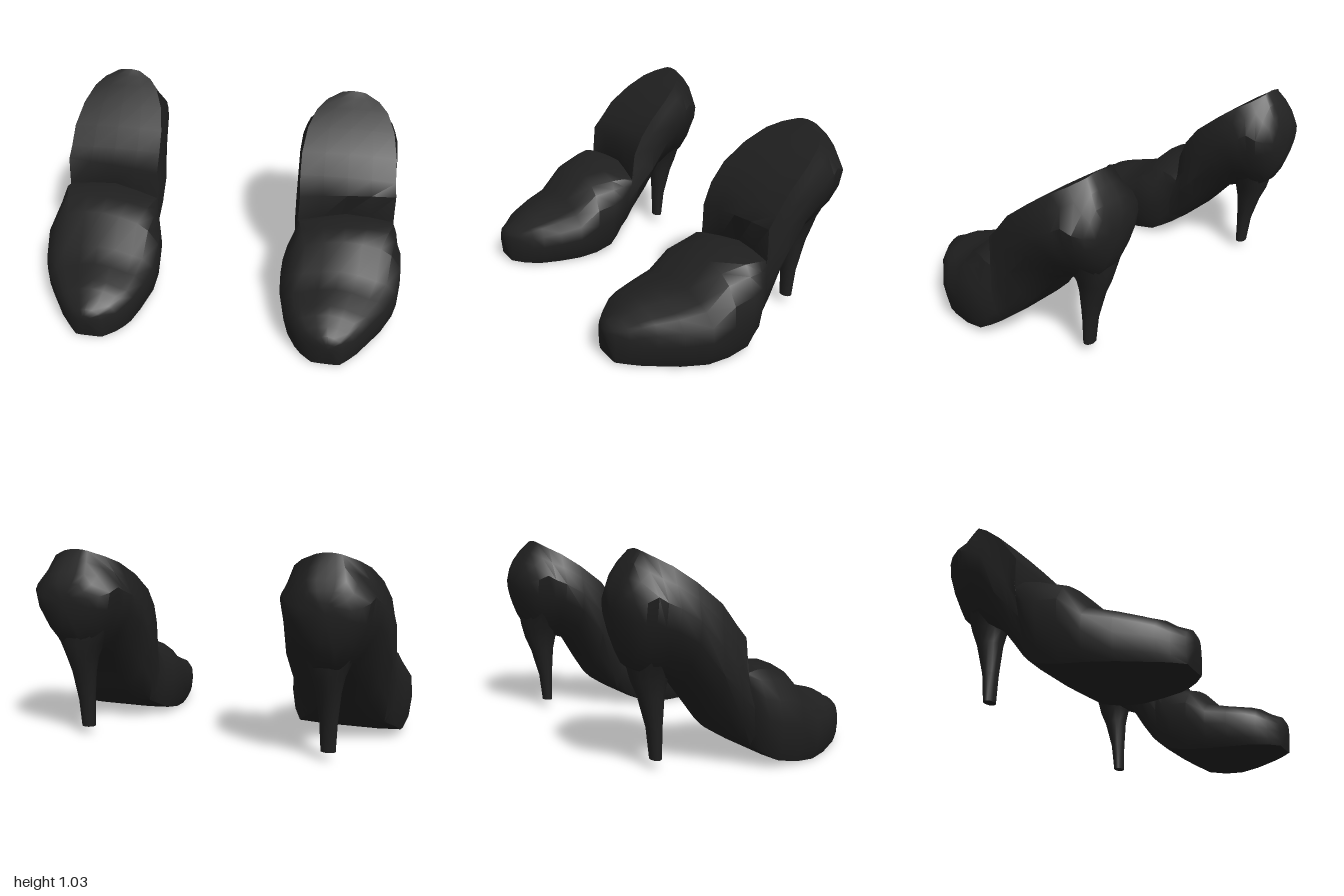
import * as THREE from 'three';
import { toCreasedNormals } from 'three/addons/utils/BufferGeometryUtils.js';

const { lerp, smoothstep } = THREE.MathUtils;

// Body stations from toe to back: z, bottom y, top y, centre x, half width, top edge width factor
const BODY = [
  [0.67, 0.10, 0.17, 0.64, 0.035, 0.8],
  [0.65, 0.012, 0.205, 0.635, 0.085, 0.75],
  [0.6, 0.01, 0.225, 0.63, 0.145, 0.72],
  [0.55, 0.008, 0.26, 0.632, 0.19, 0.7],
  [0.5, 0.006, 0.278, 0.635, 0.222, 0.68],
  [0.4, 0.004, 0.305, 0.654, 0.274, 0.65],
  [0.28, 0.004, 0.335, 0.67, 0.317, 0.62],
  [0.17, 0.012, 0.45, 0.674, 0.328, 0.62],
  [0.06, 0.035, 0.465, 0.68, 0.32, 0.74],
  [0.0, 0.07, 0.47, 0.683, 0.3, 0.86],
  [-0.045, 0.098, 0.455, 0.678, 0.274, 0.94],
  [-0.05, 0.102, 0.6, 0.676, 0.271, 0.96],
  [-0.1, 0.145, 0.685, 0.668, 0.274, 0.95],
  [-0.18, 0.245, 0.785, 0.664, 0.277, 0.93],
  [-0.3, 0.415, 0.88, 0.662, 0.276, 0.86],
  [-0.4, 0.45, 0.95, 0.662, 0.267, 0.73],
  [-0.46, 0.46, 0.985, 0.662, 0.252, 0.57],
  [-0.5, 0.475, 1.015, 0.662, 0.235, 0.28],
  [-0.55, 0.51, 0.96, 0.664, 0.215, 0.4],
  [-0.59, 0.575, 0.9, 0.667, 0.178, 0.55],
  [-0.617, 0.635, 0.85, 0.67, 0.128, 0.65],
  [-0.632, 0.71, 0.8, 0.672, 0.05, 0.7],
];

// Heel stations from top to bottom: y, front z, back z, half width
const HEEL = [
  [0.6, -0.32, -0.59, 0.165],
  [0.52, -0.345, -0.58, 0.115],
  [0.44, -0.375, -0.56, 0.082],
  [0.36, -0.392, -0.525, 0.064],
  [0.2, -0.403, -0.478, 0.046],
  [0.05, -0.405, -0.46, 0.038],
];

// Skins a list of equal rings and closes both ends; rings run anticlockwise seen from the first end
function loft(rings) {
  const n = rings[0].length;
  const points = rings.flat();
  const index = [];
  for (let i = 0; i < rings.length - 1; i++) {
    for (let j = 0; j < n; j++) {
      const k = (j + 1) % n;
      const a = i * n + j, b = i * n + k, c = a + n, d = b + n;
      index.push(a, c, b, b, c, d);
    }
  }
  [rings[0], rings[rings.length - 1]].forEach((ring, end) => {
    const centre = new THREE.Vector3();
    ring.forEach((p) => centre.addScaledVector(p, 1 / n));
    const m = points.push(centre) - 1;
    const base = end ? (rings.length - 1) * n : 0;
    for (let j = 0; j < n; j++) {
      const a = base + j, b = base + (j + 1) % n;
      index.push(m, end ? b : a, end ? a : b);
    }
  });
  const geometry = new THREE.BufferGeometry().setFromPoints(points);
  geometry.setIndex(index);
  return toCreasedNormals(geometry, 0.75);
}

// The upper rear of the right shoe sits slightly further back
function shiftZ(z, y, side) {
  if (side > 0 || z > 0.3) return z;
  const shift = z < -0.047 ? -0.072 - 0.07 * (z + 0.05) : -0.072 * (0.3 - z) / 0.345;
  return z + shift * smoothstep(y, 0.15, 0.55);
}

function bodyRing([z, bottom, height, centre, fullWidth, topWidth], side) {
  const rear = smoothstep(-z, 0.1, 0.45);
  const sole = lerp(0.87, 0.28, smoothstep(-z, -0.08, 0.4));
  const edge = z < -0.047 ? 0.985 : lerp(0.94, 0.85, smoothstep(z, 0.05, 0.4));
  // The right shoe is a little taller and narrower behind
  const top = side < 0 && z < 0.2 ? height + 0.02 : height;
  const width = side < 0 ? fullWidth * (1 - 0.06 * rear) : fullWidth;
  // The sides rise smoothly past the step between instep and opening
  const sideTop = z < 0 && z > -0.1 ? lerp(0.47, 0.685, -z / 0.1) : top;
  const half = [
    [0, 0], [sole * 0.55, 0], [sole, 0.015],
    [lerp((1 + sole) / 2 + 0.02, 0.65, rear), lerp(0.16, 0.22, rear)],
    [lerp(1, 0.92, rear), lerp(0.42, 0.45, rear)],
    [lerp(0.975, 1, rear), 0.65],
    [(topWidth + 0.98) / 2, 0.83],
    [topWidth, edge], [topWidth * 0.5, edge * 0.3 + 0.7], [0, 1],
  ];
  const mirrored = half.slice(1, -1).reverse().map(([u, v]) => [-u, v]);
  // The instep is higher on its outer side and tucks under the lip of the opening
  const tilt = z > -0.06 ? 0.1 * (1 - smoothstep(z, 0.1, 0.28)) : 0;
  const tuck = z < -0.04 && z > -0.047 ? 0.04 : 0;
  return [...half, ...mirrored].map(([u, v]) => {
    const level = v < 0.84
      ? Math.min(bottom + v * (sideTop - bottom), lerp(bottom, top, edge) - 0.01)
      : lerp(bottom, top, v);
    const y = level + tilt * side * u * width * v * v;
    const back = v > 0.84 ? tuck * (1 - Math.abs(u)) : 0;
    return new THREE.Vector3(side * centre + u * width, y, shiftZ(z, y, side) - back);
  });
}

function heelRing([y, front, back, width], side) {
  return Array.from({ length: 14 }, (_, i) => {
    const a = (i / 14) * Math.PI * 2;
    return new THREE.Vector3(
      side * 0.66 + Math.cos(a) * width,
      y,
      (front + back) / 2 - Math.sin(a) * (front - back) / 2,
    );
  });
}

export function createModel() {
  const black = new THREE.MeshStandardMaterial({ color: 0x202020 });
  black.name = 'black leather';

  const model = new THREE.Group();
  model.name = 'pair of high heels';
  for (const side of [1, -1]) {
    const shoe = new THREE.Group();
    shoe.name = side > 0 ? 'leftShoe' : 'rightShoe';
    const body = new THREE.Mesh(loft(BODY.map((row) => bodyRing(row, side))), black);
    body.name = 'shoeBody';
    const heel = new THREE.Mesh(loft(HEEL.map((row) => heelRing(row, side))), black);
    heel.name = 'stilettoHeel';
    shoe.add(body, heel);
    model.add(shoe);
  }
  return model;
}
